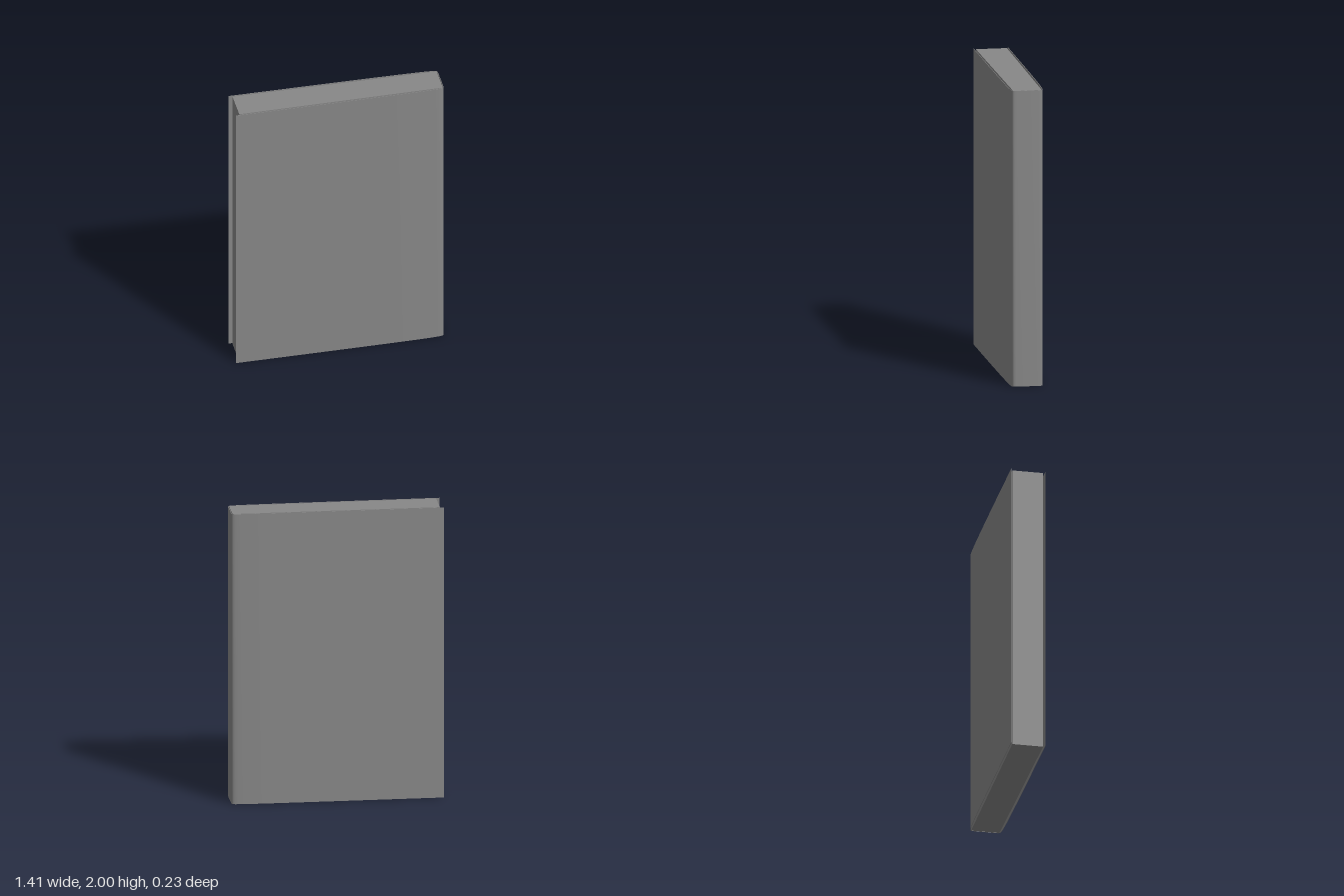
import * as THREE from 'three';
import { toCreasedNormals } from 'three/addons/utils/BufferGeometryUtils.js';

const HEIGHT = 2;
const COVER_THICKNESS = 0.003;

// Shifts an open [x, z] line sideways, square to its neighbours' direction
function offsetLine(line, distance) {
  return line.map(([x, z], i) => {
    const [ax, az] = line[Math.max(i - 1, 0)];
    const [bx, bz] = line[Math.min(i + 1, line.length - 1)];
    const length = Math.hypot(bx - ax, bz - az);
    return [x + (distance * (bz - az)) / length, z - (distance * (bx - ax)) / length];
  });
}

export function createModel() {
  const book = new THREE.Group();
  book.name = 'book';
  const material = new THREE.MeshStandardMaterial({ color: 0x888888 });

  // Cover: front board curving into the flat spine, mirrored to the back board
  const half = [
    [-0.707, 0.117], [-0.23, 0.1165], [0.1, 0.1155], [0.35, 0.114], [0.5, 0.1125],
    [0.6, 0.1105], [0.66, 0.1075], [0.685, 0.105], [0.697, 0.101],
    [0.703, 0.096], [0.706, 0.088], [0.707, 0.075],
  ];
  const outer = [...half, ...half.map(([x, z]) => [x, -z]).reverse()];
  const inner = offsetLine(outer, COVER_THICKNESS).reverse();
  const section = new THREE.Shape([...outer, ...inner].map(([x, z]) => new THREE.Vector2(x, -z)));
  const coverGeometry = new THREE.ExtrudeGeometry(section, { depth: HEIGHT, bevelEnabled: false });
  coverGeometry.rotateX(-Math.PI / 2);
  const cover = new THREE.Mesh(toCreasedNormals(coverGeometry, 0.7), material);
  cover.name = 'cover';
  book.add(cover);

  // Page block: a box slightly narrower towards the spine, set back at the open edge
  const left = -0.683, right = 0.7;
  const pagesGeometry = new THREE.BoxGeometry(right - left, HEIGHT, 2);
  pagesGeometry.translate((left + right) / 2, HEIGHT / 2, 0);
  const p = pagesGeometry.attributes.position;
  for (let i = 0; i < p.count; i++) {
    p.setZ(i, p.getZ(i) * (p.getX(i) > 0 ? 0.096 : 0.104));
  }
  pagesGeometry.computeVertexNormals();
  const pages = new THREE.Mesh(pagesGeometry, material);
  pages.name = 'pageBlock';
  book.add(pages);

  return book;
}
